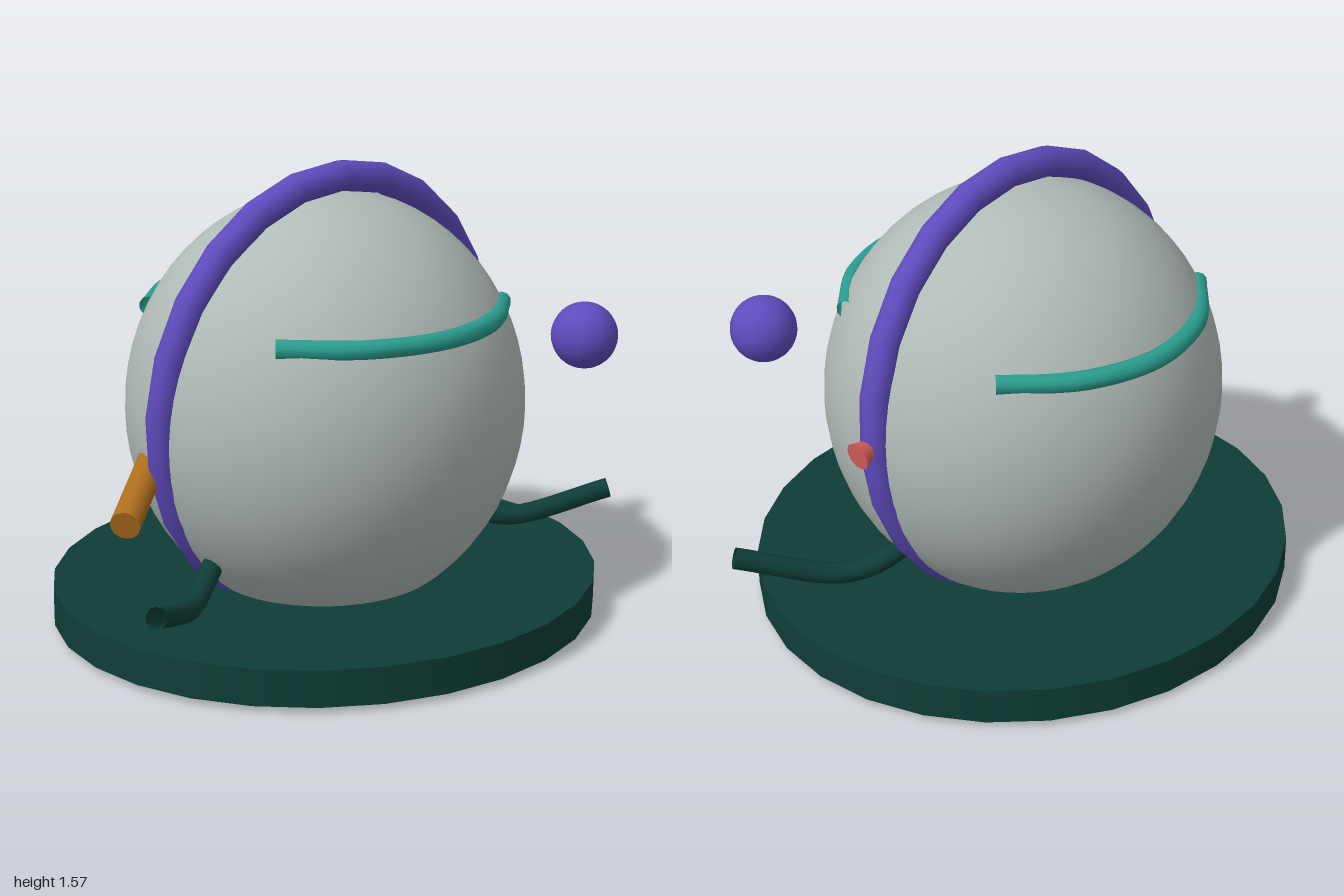
import * as THREE from 'three';

const mat = (name, color, side = THREE.FrontSide) => {
  const m = new THREE.MeshStandardMaterial({ color, side });
  m.name = name;
  return m;
};

export function createModel() {
  const group = new THREE.Group();
  const grey = mat('paleGrey', 0xb0bab6);
  const green = mat('darkGreen', 0x0f3d36, THREE.DoubleSide);
  const teal = mat('teal', 0x2a9d8f, THREE.DoubleSide);
  const purple = mat('purple', 0x5f4bbd);
  const orange = mat('amber', 0xb06f1e);
  const coral = mat('coral', 0xd65f5c);

  const add = (name, geometry, material, x = 0, y = 0, z = 0) => {
    const mesh = new THREE.Mesh(geometry, material);
    mesh.name = name;
    mesh.position.set(x, y, z);
    group.add(mesh);
    return mesh;
  };

  // Smooth tube through a few points
  const tube = (points, radius, segments, sides) => new THREE.TubeGeometry(
    new THREE.CatmullRomCurve3(points.map(p => new THREE.Vector3(...p))), segments, radius, sides);

  // Straight rod between two points
  const rod = (name, a, b, rA, rB, sides, material) => {
    const from = new THREE.Vector3(...a), to = new THREE.Vector3(...b);
    const dir = to.clone().sub(from);
    const mesh = add(name, new THREE.CylinderGeometry(rB, rA, dir.length(), sides), material);
    mesh.position.copy(from).add(to).multiplyScalar(0.5);
    mesh.quaternion.setFromUnitVectors(new THREE.Vector3(0, 1, 0), dir.normalize());
    return mesh;
  };

  // Oval body
  add('body', new THREE.SphereGeometry(1, 48, 32).scale(0.685, 0.725, 0.66), grey, 0, 0.737, 0);

  // Oval base disc
  add('baseDisc', new THREE.CylinderGeometry(1, 1, 0.125, 28).scale(0.955, 1, 0.893), green, 0, 0.0825, 0);

  // Leaning hoop around the body
  const hoop = add('hoop', new THREE.TorusGeometry(0.734, 0.052, 10, 24).scale(0.928, 1, 1), purple, 0, 0.785, 0);
  hoop.rotation.set(0.07, 0, -0.03);

  // Curved brow bands, front and back
  for (const s of [1, -1]) {
    const band = [[-0.48, 0.345], [-0.26, 0.53], [0, 0.597], [0.26, 0.53], [0.48, 0.345]];
    add(s > 0 ? 'frontBand' : 'backBand',
      tube(band.map(([x, z]) => [x, 1.077, z * s]), 0.032, 28, 10), teal);
  }

  // Bent arms, left and right
  for (const s of [1, -1]) {
    const arm = [[0.48, 0.33, 0.04], [0.59, 0.25, 0.1], [0.7, 0.22, 0.18], [0.98, 0.318, 0.385]];
    add(s > 0 ? 'leftArm' : 'rightArm', tube(arm.map(([x, y, z]) => [x * s, y, z]), 0.036, 20, 10), green);
  }

  // Slanted peg on the right side
  rod('sidePeg', [-0.895, 0.52, 0.1], [-0.47, 0.677, -0.265], 0.05, 0.05, 14, orange);

  // Flared stud on the left side
  rod('sideStud', [0.69, 0.795, 0], [0.757, 0.785, 0], 0.025, 0.048, 10, coral);

  // Floating ball
  add('ball', new THREE.SphereGeometry(0.112, 24, 16), purple, 0.641, 0.98, 0.579);

  return group;
}
